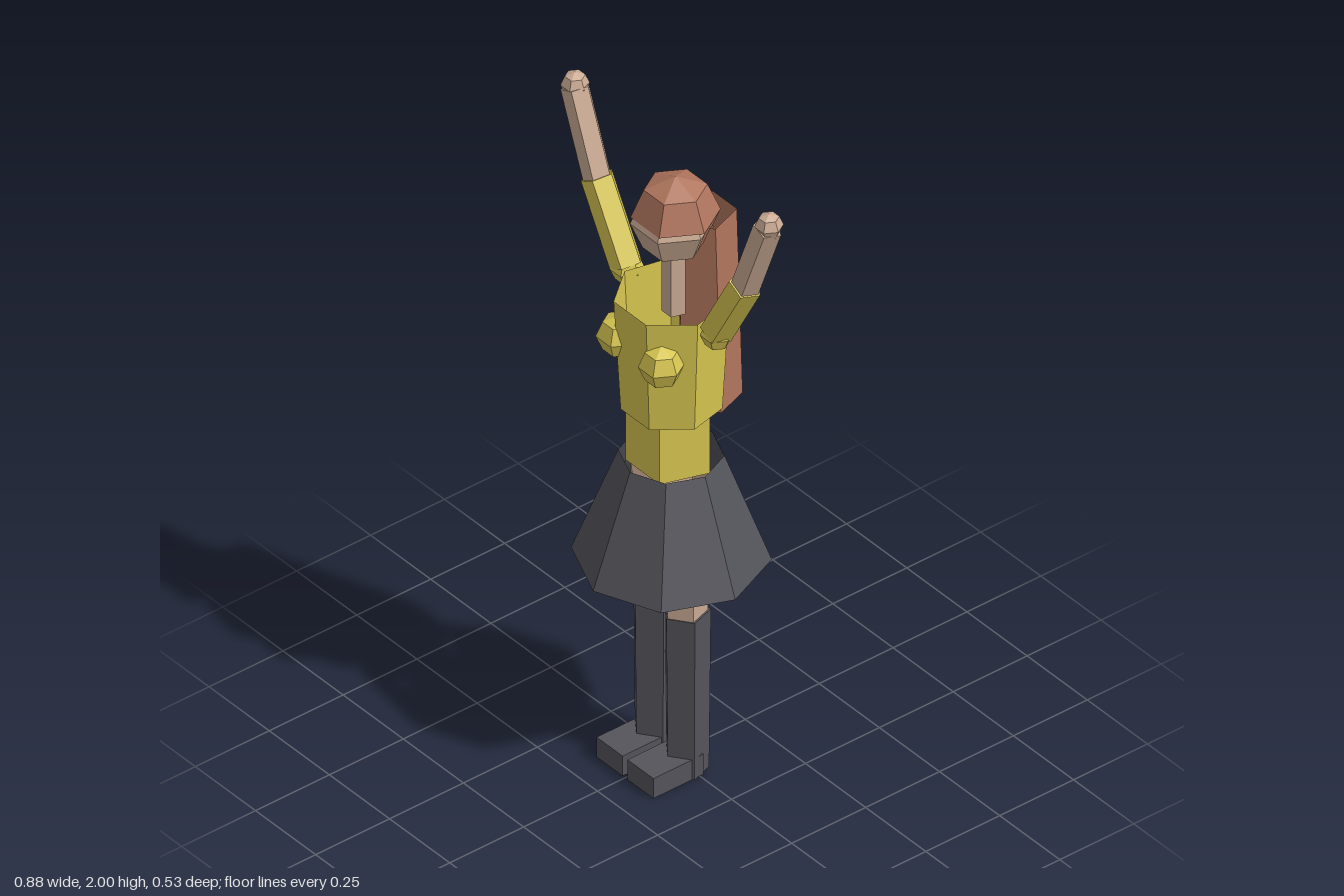
import * as THREE from 'three';

const paint = (name, color) => {
  const m = new THREE.MeshStandardMaterial({ color, flatShading: true, side: THREE.DoubleSide });
  m.name = name;
  return m;
};

export function createModel() {
  const skin = paint('skin', 0xcbab94);
  const hair = paint('hair brown', 0xb0755d);
  const yellow = paint('shirt yellow', 0xd8c651);
  const dark = paint('dark grey', 0x54545b);

  const model = new THREE.Group();
  model.name = 'woman';

  const add = (name, geometry, material, x = 0, y = 0, z = 0) => {
    const mesh = new THREE.Mesh(geometry, material);
    mesh.name = name;
    mesh.position.set(x, y, z);
    model.add(mesh);
    return mesh;
  };

  // Upright faceted tube between two heights; turn = PI puts a corner at the back
  const tube = (name, material, sides, y0, y1, r0, r1, { x = 0, z = 0, turn = 0, open = true } = {}) => {
    const g = new THREE.CylinderGeometry(r1, r0, y1 - y0, sides, 1, open).rotateY(turn);
    return add(name, g, material, x, (y0 + y1) / 2, z);
  };

  // Faceted ball with six sides
  const ball = (name, material, r, x, y, z) =>
    add(name, new THREE.SphereGeometry(r, 6, 4), material, x, y, z);

  // Five-sided limb in the x-y plane, with a corner towards the back
  const limb = (name, material, r, x0, y0, x1, y1) => {
    const g = new THREE.CylinderGeometry(r, r, Math.hypot(x1 - x0, y1 - y0), 5).rotateY(Math.PI);
    const mesh = add(name, g, material, (x0 + x1) / 2, (y0 + y1) / 2, -0.002);
    mesh.rotation.z = -Math.atan2(x1 - x0, y1 - y0);
  };

  // Body and skirt, open at both ends
  tube('chest', yellow, 7, 1.155, 1.51, 0.137, 0.156, { turn: Math.PI });
  tube('waist', yellow, 5, 0.97, 1.2, 0.12, 0.12, { turn: Math.PI });
  tube('skirt', dark, 8, 0.66, 0.99, 0.265, 0.14);

  // Neck and head
  tube('neck', skin, 5, 1.45, 1.7, 0.034, 0.034, { z: -0.01, turn: Math.PI });
  ball('head', skin, 0.115, 0, 1.747, -0.006);

  // Hair: cap, lower back of the cap, long tail
  const R = 0.12, H = Math.PI / 2;
  add('hairCap', new THREE.SphereGeometry(R, 6, 2, 0, Math.PI * 2, 0, H), hair, 0, 1.765, -0.014);
  add('hairBack', new THREE.SphereGeometry(R, 3, 2, Math.PI, Math.PI, H, H), hair, 0, 1.765, -0.014);
  const tail = tube('hairTail', hair, 5, 1.12, 1.73, 0.088, 0.088, { z: -0.118 });
  tail.rotation.x = 0.032;

  // Paired parts
  for (const [side, s] of [['left', 1], ['right', -1]]) {
    ball(side + 'Bust', yellow, 0.063, s * 0.088, 1.375, 0.105);

    ball(side + 'Shoulder', yellow, 0.046, s * 0.187, 1.485, -0.002);
    limb(side + 'UpperArm', yellow, 0.047, s * 0.187, 1.495, s * 0.308, 1.715);
    limb(side + 'Forearm', skin, 0.041, s * 0.303, 1.7, s * 0.4, 1.955);
    ball(side + 'Hand', skin, 0.039, s * 0.403, 1.961, -0.002);

    tube(side + 'Thigh', skin, 5, 0.5, 0.95, 0.059, 0.074, { x: s * 0.066, z: 0.007 });
    tube(side + 'Sock', dark, 5, 0, 0.515, 0.061, 0.066, { x: s * 0.065, z: 0.004, open: false });
    add(side + 'Foot', new THREE.BoxGeometry(0.108, 0.065, 0.17), dark, s * 0.064, 0.0325, 0.072);
  }

  return model;
}
